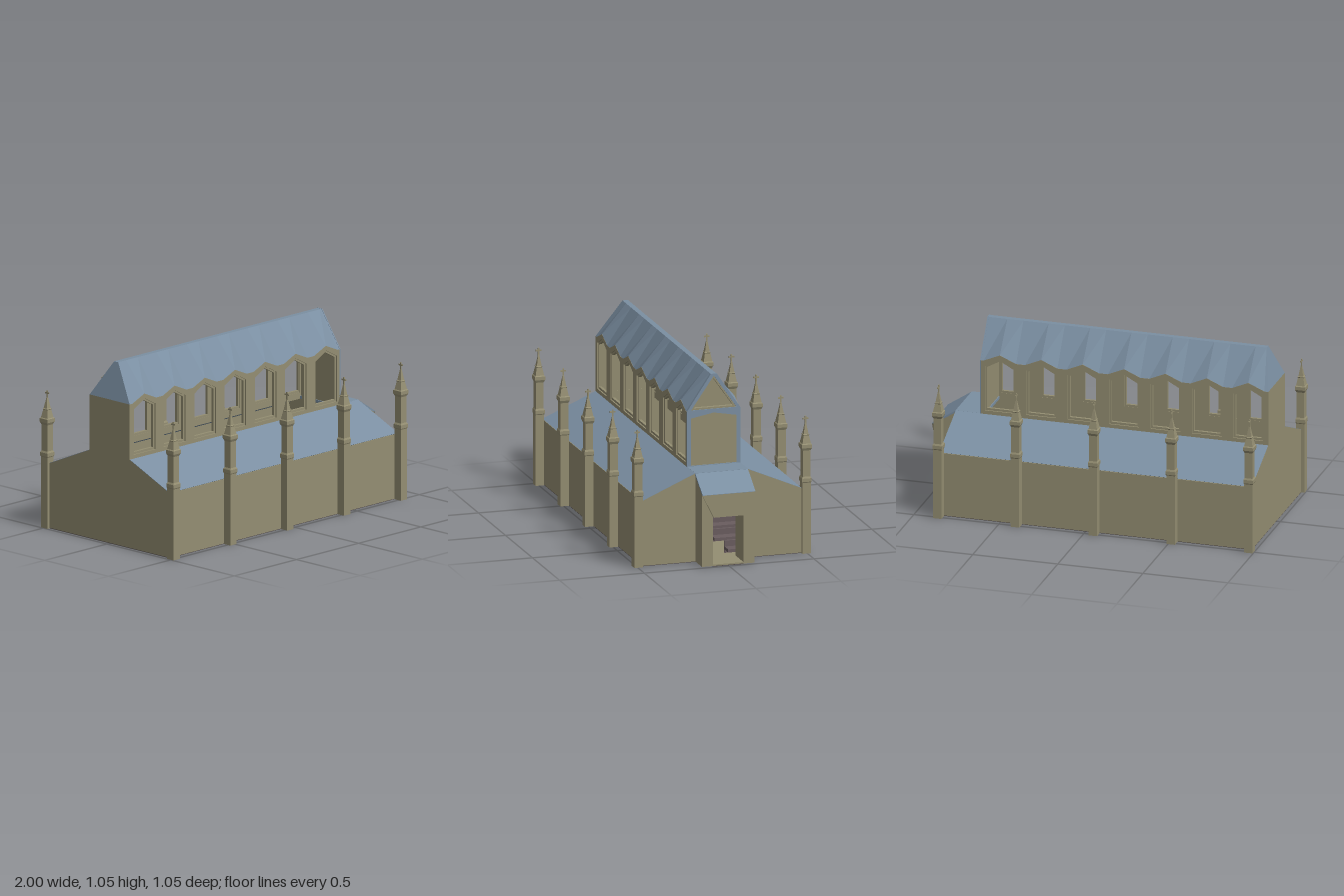
import * as THREE from 'three';

const mat = (name, color) => {
  const m = new THREE.MeshStandardMaterial({ color, flatShading: true });
  m.name = name;
  return m;
};

export function createModel() {
  const stone = mat('tan stone', 0x948e72);
  const slate = mat('blue slate', 0x7b8fa2);
  slate.side = THREE.DoubleSide;
  const wood = mat('purple brown wood', 0x6a5d5f);
  const dark = mat('dark base', 0x524a4a);

  const model = new THREE.Group();
  model.name = 'church';
  const add = (name, geo, material, parent = model) => {
    const m = new THREE.Mesh(geo, material);
    m.name = name;
    parent.add(m);
    return m;
  };
  const box = (name, material, x0, x1, y0, y1, z0, z1, parent) => {
    const m = add(name, new THREE.BoxGeometry(x1 - x0, y1 - y0, z1 - z0), material, parent);
    m.position.set((x0 + x1) / 2, (y0 + y1) / 2, (z0 + z1) / 2);
    return m;
  };
  const poly = (pts, Type = THREE.Shape) => new Type(pts.map(p => new THREE.Vector2(...p)));
  const extrude = (shape, depth) => new THREE.ExtrudeGeometry(shape, { depth, bevelEnabled: false });
  // Shape drawn in (x, y), extruded between two z values
  const alongZ = (shape, z0, z1) => extrude(shape, z1 - z0).translate(0, 0, z0);
  // Shape drawn in (-z, y), extruded between two x values
  const alongX = (shape, x0, x1) => extrude(shape, x1 - x0).rotateY(Math.PI / 2).translate(x0, 0, 0);

  // Floor
  box('baseUnderside', dark, -0.977, 0.859, 0, 0.003, -0.469, 0.469);
  box('porchUnderside', dark, 0.859, 0.985, 0, 0.003, -0.09, 0.09);
  box('floor', stone, -0.97, 0.85, 0.003, 0.011, -0.46, 0.46);
  box('porchFloor', stone, 0.85, 0.983, 0.003, 0.011, -0.092, 0.092);

  // Lower hall: end walls, side walls and lean-to roofs
  const hall = [[-0.47, 0.003], [0.47, 0.003], [0.47, 0.379], [0.155, 0.515], [-0.155, 0.515], [-0.47, 0.379]];
  add('backEndWall', alongX(poly(hall), -0.978, -0.955), stone);
  const doorWall = poly(hall);
  doorWall.holes.push(poly([[-0.09, 0.011], [0.09, 0.011], [0.09, 0.29], [-0.09, 0.29]], THREE.Path));
  add('porchEndWall', alongX(doorWall, 0.837, 0.86), stone);
  for (const s of [-1, 1]) {
    const z = [s * 0.47, s * 0.447].sort((a, b) => a - b);
    box('sideWall', stone, -0.955, 0.837, 0.003, 0.376, z[0], z[1]);
    const roof = poly([[s * 0.471, 0.38], [s * 0.155, 0.5165], [s * 0.155, 0.5], [s * 0.455, 0.372]]);
    add('aisleRoof', alongX(roof, -0.9775, 0.8595), slate);
  }
  box('flatRoof', slate, 0.69, 0.861, 0.5, 0.5165, -0.156, 0.156);

  // Upper storey side walls with pointed windows
  const centres = Array.from({ length: 7 }, (_, i) => -0.86 + i * 0.2433);
  const valley = 0.836, peak = 0.877;
  const crest = [[-0.978, valley], ...centres.flatMap(c => [[c - 0.095, valley], [c, peak], [c + 0.095, valley]]), [0.714, valley]];
  const arch = (c, w, y0, y1, y2, Type = THREE.Path) =>
    poly([[c - w, y0], [c + w, y0], [c + w, y1], [c, y2], [c - w, y1]], Type);
  const wall = poly([[0.714, 0.5], [-0.978, 0.5], ...crest]);
  centres.forEach(c => wall.holes.push(arch(c, 0.088, 0.537, 0.804, 0.85)));
  for (const s of [-1, 1]) {
    add('windowWall', alongZ(wall, s > 0 ? 0.132 : -0.158, s > 0 ? 0.158 : -0.132), stone);
    for (const c of centres) {
      const frame = arch(c, 0.0885, 0.5365, 0.8045, 0.8505, THREE.Shape);
      frame.holes.push(arch(c, 0.077, 0.55, 0.797, 0.839));
      add('windowFrame', alongZ(frame, s > 0 ? 0.134 : -0.15, s > 0 ? 0.15 : -0.134), stone);
    }
  }
  box('upperEndWall', stone, -0.978, -0.957, 0.5, valley, -0.134, 0.134);

  // Steep folded roof rising from the zigzag eaves, with a hipped far end
  const verts = [], faces = [0, 1, 2, 0, 2, 3];
  crest.forEach(([x, y], i) => {
    const ridgeX = Math.max(x, -0.925);
    verts.push(x, y, 0.157, ridgeX, 1.045, 0.016, ridgeX, 1.045, -0.016, x, y, -0.157);
    if (i === 0) return;
    for (let k = 0; k < 3; k++) {
      const a = (i - 1) * 4 + k, b = i * 4 + k;
      faces.push(a, b, b + 1, a, b + 1, a + 1);
    }
  });
  const steep = new THREE.BufferGeometry();
  steep.setAttribute('position', new THREE.Float32BufferAttribute(verts, 3));
  steep.setIndex(faces);
  const steepFlat = steep.toNonIndexed();
  steepFlat.computeVertexNormals();
  add('steepRoof', steepFlat, slate);

  // Gable end: slate frame around two recessed stone panels
  const gable = poly([[-0.1585, 0.516], [0.1585, 0.516], [0.1585, valley], [0.017, 1.046], [-0.017, 1.046], [-0.1585, valley]]);
  const triangle = [[-0.134, 0.842], [0.134, 0.842], [0, 1.034]];
  gable.holes.push(poly(triangle, THREE.Path));
  gable.holes.push(poly([[-0.135, 0.519], [0.135, 0.519], [0.135, 0.795], [0, 0.82], [-0.135, 0.795]], THREE.Path));
  add('gableFrame', alongX(gable, 0.709, 0.716), slate);
  box('gableWall', stone, 0.695, 0.708, 0.5, 0.835, -0.14, 0.14);
  add('gablePanel', alongX(poly(triangle), 0.68, 0.69), stone);
  const trim = poly(triangle);
  trim.holes.push(poly([[-0.116, 0.852], [0.116, 0.852], [0, 1.017]], THREE.Path));
  add('gableTrim', alongX(trim, 0.685, 0.712), stone);

  // Porch with splayed hood and open doorway
  const cheek = poly([[0.86, 0.003], [0.985, 0.003], [0.985, 0.426], [0.86, 0.51]]);
  add('porchSide', alongZ(cheek, 0.09, 0.155), stone);
  add('porchSide', alongZ(cheek, -0.155, -0.09), stone);
  const porchRoof = poly([[0.859, 0.5165], [0.859, 0.506], [0.985, 0.421], [1, 0.421], [1, 0.423]]);
  add('porchRoof', alongZ(porchRoof, -0.1555, 0.1555), slate);
  add('porchHood', alongX(poly([[-0.09, 0.288], [0.09, 0.288], [0.155, 0.421], [-0.155, 0.421]]), 0.984, 0.999), stone);

  // Interior: pews, a fallen beam and the far steps
  box('farStep', stone, -0.955, -0.75, 0.011, 0.07, -0.3, 0.3);
  const beam = box('fallenBeam', wood, 0.55, 0.575, 0.225, 0.243, -0.3, 0.3);
  beam.rotation.x = -0.11;
  for (const s of [-1, 1]) {
    for (let x = -0.5; x < 0.8; x += 0.25) {
      const z0 = s > 0 ? 0.048 : -0.3, z1 = s > 0 ? 0.3 : -0.048;
      box('pewSeat', wood, x, x + 0.08, 0.03, 0.048, z0, z1);
      box('pewBack', wood, x, x + 0.015, 0.011, 0.082, z0, z1);
    }
  }

  // Square buttress pillars with spires and crosses
  const profile = [[0, 0], [0.025, 0], [0.025, 0.412], [0.028, 0.418], [0.028, 0.438], [0.023, 0.448],
    [0.023, 0.6], [0.03, 0.615], [0.03, 0.635], [0.025, 0.64], [0.016, 0.685], [0.018, 0.69], [0.014, 0.694],
    [0.003, 0.757], [0, 0.757]].map(([r, y]) => new THREE.Vector2(r * Math.SQRT2, y));
  const pillarGeo = new THREE.LatheGeometry(profile, 4, Math.PI / 4);
  for (const s of [-1, 1]) {
    for (let i = 0; i < 5; i++) {
      const g = new THREE.Group();
      g.name = 'pillar';
      add('pillarShaft', pillarGeo, stone, g);
      box('crossUpright', stone, -0.003, 0.003, 0.745, 0.796, -0.004, 0.004, g);
      box('crossArm', stone, -0.003, 0.003, 0.777, 0.786, -0.016, 0.016, g);
      g.position.set(-0.972 + i * 0.457, 0, s * 0.4955);
      model.add(g);
    }
  }
  return model;
}
